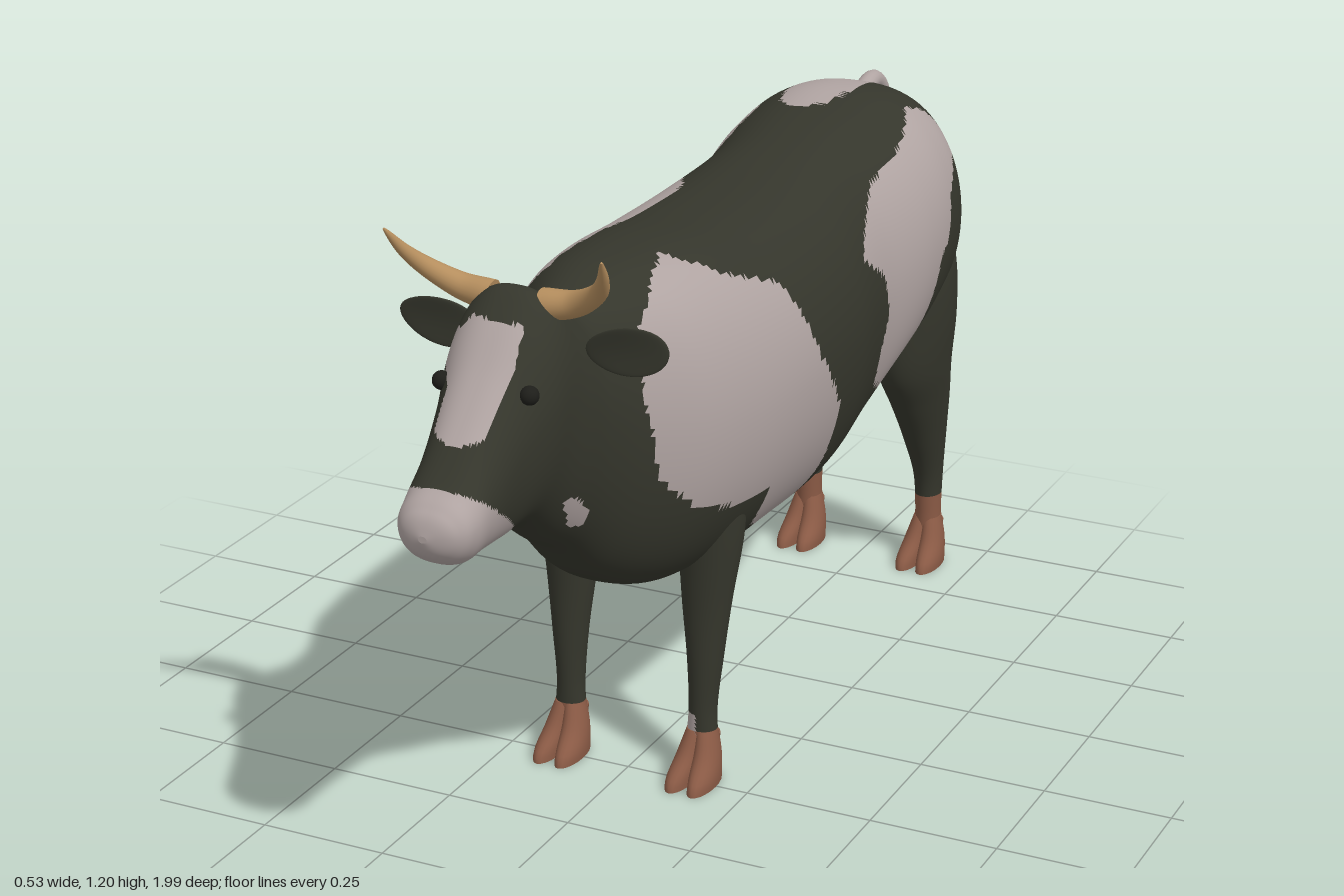
import * as THREE from 'three';

const mat = (name, color) => {
  const m = new THREE.MeshStandardMaterial({ color });
  m.name = name;
  return m;
};
const darkCoat = mat('dark coat', 0x35362c);
const whiteCoat = mat('white coat', 0xb0a4a2);
const hoofBrown = mat('hoof brown', 0x8a5a45);
const hornTan = mat('horn tan', 0xb58e5e);
const eyeBlack = mat('eye black', 0x1e1e1a);
const coatMats = [darkCoat, whiteCoat, hoofBrown];
const DARK = 0, WHITE = 1, BROWN = 2;

// Coat patches: side outlines as [z, y], face blaze as [x, y]
const leftPatches = [
  [[.46, .86], [.43, .97], [.34, 1.03], [.25, 1.045], [.17, .995], [.03, .94], [-.04, .78], [-.14, .65], [-.15, .49],
    [-.1, .43], [.03, .44], [.11, .49], [.12, .57], [.25, .58], [.35, .61], [.43, .69]],
  [[-.31, .88], [-.35, .91], [-.475, .98], [-.61, 1.015], [-.74, 1.06], [-.8, 1.04], [-.865, .985], [-.855, .95],
    [-.8, .94], [-.73, .89], [-.705, .81], [-.665, .78], [-.64, .62], [-.58, .55], [-.5, .545], [-.41, .59],
    [-.395, .65], [-.43, .73], [-.41, .82]],
  [[.66, .72], [.63, .72], [.58, .67], [.58, .645], [.62, .655]],
];
const rightPatches = [
  [[-.3, 1.0], [-.33, .85], [-.31, .7], [-.2, .61], [-.02, .59], [.1, .69], [.2, .76], [.32, .84], [.36, .95],
    [.34, 1.02], [.2, 1.035], [.05, 1.028], [-.2, 1.02]],
  [[-.46, .97], [-.46, .9], [-.53, .74], [-.68, .67], [-.74, .56], [-.8, .57], [-.85, .75], [-.9, .83], [-.96, .85],
    [-.96, 1.02], [-.82, 1.03], [-.65, 1.045], [-.55, 1.02]],
];
const blaze = [[-.055, .9], [0, .89], [.045, .9], [.055, 1], [.05, 1.06], [-.05, 1.065], [-.07, 1.04], [-.11, 1.02],
  [-.1, .98], [-.06, .96]];

function inside(poly, u, v) {
  let hit = false;
  poly.forEach(([a, b], i) => {
    const [c, d] = poly[(i + 1) % poly.length];
    if ((b > v) !== (d > v) && u < (c - a) * (v - b) / (d - b) + a) hit = !hit;
  });
  return hit;
}

function coat({ x, y, z }) {
  if (z > .75 && y - .69 < (z - .75) * .74) return WHITE;                        // muzzle
  if (z > .7) return inside(blaze, x, y) ? WHITE : DARK;                         // face
  if (y > .9 && z < -.6 && ((x + .04) / .07) ** 2 + (Math.max(0, z + .72) / .12) ** 2 < 1) return WHITE; // rump top
  if (z < -.885 && Math.abs(x) < .1 && y > .78) return WHITE;                    // around the tail
  const side = x > 0 ? leftPatches : rightPatches;
  return Math.abs(x) > .03 && side.some(p => inside(p, z, y)) ? WHITE : DARK;
}

// Skins closed rings of points; an optional rule picks a material for each triangle
function loft(rings, rule) {
  const n = rings[0].length, pts = rings.flat(), tris = [];
  for (let i = 0; i < rings.length - 1; i++) {
    for (let j = 0; j < n; j++) {
      const k = (j + 1) % n, a = i * n + j, b = i * n + k;
      tris.push([a, b, a + n], [b, b + n, a + n]);
    }
  }
  [rings[0], rings.at(-1)].forEach((ring, end) => {
    const first = pts.length;
    const mid = ring.reduce((s, p) => s.add(p), new THREE.Vector3()).divideScalar(n);
    pts.push(...ring, mid);
    for (let j = 0; j < n; j++) {
      const a = first + j, b = first + (j + 1) % n;
      tris.push(end ? [a, b, first + n] : [b, a, first + n]);
    }
  });
  const geo = new THREE.BufferGeometry().setFromPoints(pts);
  if (rule) {
    const bins = coatMats.map(() => []);
    const c = new THREE.Vector3();
    for (const t of tris) {
      c.copy(pts[t[0]]).add(pts[t[1]]).add(pts[t[2]]).divideScalar(3);
      bins[rule(c)].push(...t);
    }
    let start = 0;
    bins.forEach((b, i) => { if (b.length) geo.addGroup(start, b.length, i); start += b.length; });
    geo.setIndex(bins.flat());
  } else geo.setIndex(tris.flat());
  geo.computeVertexNormals();
  return geo;
}

// Smooth interpolation through rows whose first entry is the ascending parameter
function spline(rows) {
  const f = new THREE.CubicInterpolant(rows.map(r => r[0]), rows.flatMap(r => r.slice(1)), rows[0].length - 1);
  return t => [...f.evaluate(t)];
}
const circle = (n, fn) => Array.from({ length: n }, (_, j) => fn(Math.cos(j / n * 2 * Math.PI), Math.sin(j / n * 2 * Math.PI)));

// Upright limb from rows [y, x, z, rx, rz], bottom to top
function limb(rows, side, steps, n, rule) {
  const at = spline(rows), y0 = rows[0][0], y1 = rows.at(-1)[0];
  return loft(Array.from({ length: steps + 1 }, (_, i) => {
    const y = y0 + (y1 - y0) * i / steps, [x, z, rx, rz] = at(y);
    return circle(n, (c, s) => new THREE.Vector3(side * x + rx * s, y, z + rz * c));
  }), rule);
}

// Tapered tube along a curve
function taper(points, radius, steps, n, rule) {
  const curve = new THREE.CatmullRomCurve3(points.map(p => new THREE.Vector3(...p)));
  const { normals, binormals } = curve.computeFrenetFrames(steps);
  return loft(Array.from({ length: steps + 1 }, (_, i) => {
    const p = curve.getPointAt(i / steps), r = radius(i / steps);
    return circle(n, (c, s) => p.clone().addScaledVector(normals[i], r * c).addScaledVector(binormals[i], r * s));
  }), rule);
}

// Trunk, neck and head as [z, top, bottom, widest height, half width]
const bodyRows = [
  [-.94, .9, .72, .82, .03], [-.93, .97, .64, .82, .1], [-.9, 1.03, .6, .82, .175], [-.84, 1.07, .57, .82, .225],
  [-.74, 1.09, .54, .82, .25], [-.62, 1.08, .5, .8, .255], [-.45, 1.055, .42, .76, .238], [-.25, 1.035, .39, .74, .262],
  [0, 1.035, .395, .74, .265], [.2, 1.05, .4, .74, .247], [.33, 1.05, .42, .75, .215], [.46, 1.035, .49, .78, .145],
  [.55, 1.04, .57, .83, .125], [.62, 1.08, .62, .88, .12], [.67, 1.107, .66, .92, .115], [.72, 1.075, .69, .91, .11],
  [.8, .985, .69, .86, .088], [.88, .9, .695, .8, .076], [.94, .84, .7, .775, .073], [.975, .815, .72, .77, .06],
  [.995, .79, .745, .77, .03], [1, .772, .76, .766, .008],
];
const frontLegRows = [
  [.05, .14, .215, .028, .026], [.08, .14, .215, .03, .026], [.14, .14, .212, .027, .029], [.24, .142, .207, .034, .037],
  [.36, .142, .2, .048, .045], [.5, .145, .19, .063, .064], [.64, .14, .19, .07, .08],
];
const hindLegRows = [
  [.05, .14, -.92, .028, .03], [.12, .14, -.92, .027, .032], [.2, .14, -.915, .03, .04], [.3, .14, -.888, .042, .067],
  [.4, .142, -.85, .055, .1], [.48, .142, -.815, .068, .12], [.6, .14, -.8, .085, .128], [.72, .135, -.79, .09, .125],
  [.85, .12, -.78, .08, .1],
];

export function createModel() {
  const model = new THREE.Group();
  model.name = 'cow';
  const add = (name, geo, material, parent = model) => {
    const m = new THREE.Mesh(geo, material);
    m.name = name;
    parent.add(m);
    return m;
  };

  // Body with head, rings packed closer at both ends
  const at = spline(bodyRows), steps = 240;
  add('body', loft(Array.from({ length: steps + 1 }, (_, i) => {
    const t = i / steps, u = .4 * t + .6 * (.5 - .5 * Math.cos(Math.PI * t)), z = -.94 + 1.94 * u;
    const [top, bottom, mid, w] = at(z);
    return circle(110, (c, s) => new THREE.Vector3(
      w * Math.sign(c) * Math.abs(c) ** .8, mid + s * (s > 0 ? top - mid : mid - bottom), z));
  }), coat), coatMats);

  for (const side of [1, -1]) {
    const label = side > 0 ? 'left' : 'right';

    // Legs, each with a cloven hoof and dewclaws
    for (const [end, rows, z, brownTop] of [['Front', frontLegRows, .215, .1], ['Hind', hindLegRows, -.92, .15]]) {
      const leg = new THREE.Group();
      leg.name = `${label}${end}Leg`;
      model.add(leg);
      const rule = c => {
        if (end === 'Front' && side > 0 && c.y > .08 && c.y < .135 && c.x < .137) return WHITE;
        return c.y < brownTop ? BROWN : coat(c);
      };
      add('leg', limb(rows, side, 70, 36, rule), coatMats, leg);
      for (const s of [1, -1]) {
        const x = side * .14, dx = side * s;
        add('claw', limb([
          [0, .14 + dx * .023, z + .04, .023, .061], [.015, .14 + dx * .023, z + .038, .024, .058],
          [.05, .14 + dx * .018, z + .016, .024, .04], [.1, .14 + dx * .01, z, .019, .026],
        ], side, 10, 20), hoofBrown, leg);
        const dew = add('dewclaw', new THREE.ConeGeometry(.011, .035, 10), hoofBrown, leg);
        dew.position.set(x + s * .018, .07, z - .028);
        dew.rotation.x = -2.5;
      }
    }

    // Horn
    add(`${label}Horn`, taper([[.05, 1.075, .655], [.11, 1.085, .655], [.165, 1.12, .68], [.19, 1.155, .71], [.206, 1.2, .745]]
      .map(([x, y, z]) => [side * x, y, z]), t => .027 * (1 - t) ** .75 + .002, 24, 20), hornTan);

    // Ear: a flattened leaf, cupped towards the front
    const earGeo = new THREE.SphereGeometry(1, 28, 18);
    const p = earGeo.attributes.position;
    for (let i = 0; i < p.count; i++) {
      const x = p.getX(i), y = p.getY(i), z = p.getZ(i);
      const cup = z > 0 ? .4 : 1;
      p.setXYZ(i, x * .08, y * .043 * (1 + .15 * x), z * .018 * cup + .008 * y * y);
    }
    earGeo.computeVertexNormals();
    const ear = add(`${label}Ear`, earGeo, darkCoat);
    ear.position.set(side * .182, .995, .605);
    ear.rotation.z = side * .12;

    // Eye and nostril
    const eye = add(`${label}Eye`, new THREE.SphereGeometry(.017, 18, 12), eyeBlack);
    eye.position.set(side * .084, .957, .775);
    const nostril = add(`${label}Nostril`, new THREE.SphereGeometry(.008, 12, 8), eyeBlack);
    nostril.scale.z = .5;
    nostril.position.set(side * .036, .773, .986);
  }

  // Tail with a slightly thicker tuft
  add('tail', taper([[0, 1.04, -.82], [0, 1.06, -.9], [0, 1.01, -.955], [0, .9, -.976], [0, .65, -.98], [0, .43, -.975]],
    t => t > .97 ? .016 - (t - .97) * .4 : .021 - .009 * Math.min(1, t * 2) + .004 * Math.max(0, t * 4 - 3),
    60, 18, c => (c.y > .97 ? WHITE : DARK)), coatMats);

  return model;
}
